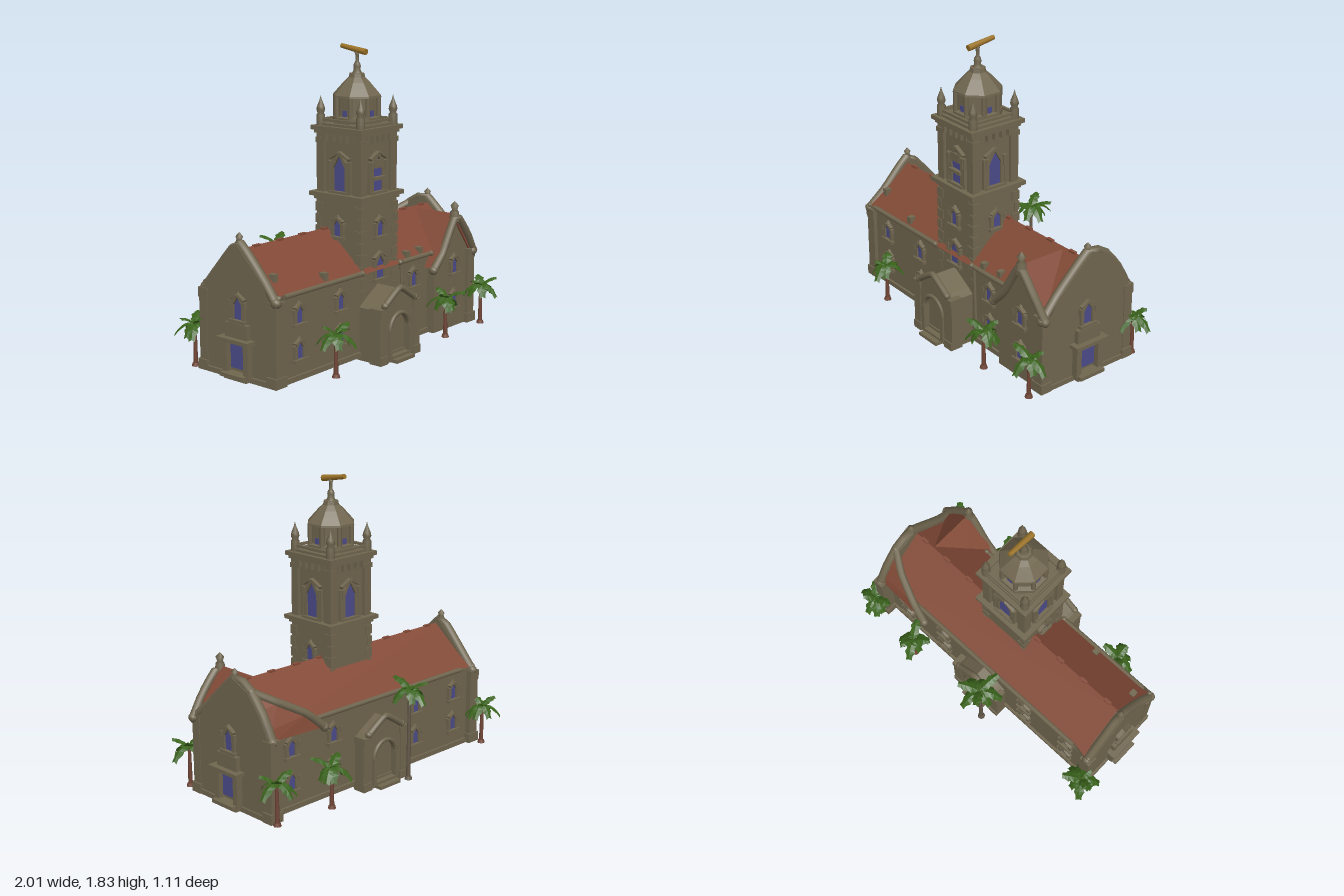
import * as THREE from 'three';

const mat = (name, color, extra = {}) => {
  const m = new THREE.MeshStandardMaterial({ color, ...extra });
  m.name = name;
  return m;
};

export function createModel() {
  const root = new THREE.Group();
  root.name = 'towerHall';
  const stone = mat('stone', 0x70664f);
  const ribbonStone = mat('thinStone', 0x70664f, { side: THREE.DoubleSide });
  const tile = mat('roofTile', 0x834a37, { side: THREE.DoubleSide });
  const glass = mat('blueGlass', 0x4b4b8b);
  const leaf = mat('palmLeaf', 0x3a631c, { side: THREE.DoubleSide, flatShading: true });
  const bark = mat('redBark', 0x704636);
  const greyBark = mat('greyBark', 0x655a4a);
  const brass = mat('brass', 0x9c7429);

  const add = (name, geo, m, x = 0, y = 0, z = 0, parent = root) => {
    const mesh = new THREE.Mesh(geo, m);
    mesh.name = name;
    mesh.position.set(x, y, z);
    parent.add(mesh);
    return mesh;
  };
  // box given by its base height y0 and top y1
  const box = (name, w, y0, y1, d, x, z, parent = root, m = stone) =>
    add(name, new THREE.BoxGeometry(w, y1 - y0, d), m, x, (y0 + y1) / 2, z, parent);
  const polygon = (pts) => new THREE.Shape(pts.map((p) => new THREE.Vector2(p[0], p[1])));
  const extrude = (shape, depth) =>
    new THREE.ExtrudeGeometry(shape, { depth, bevelEnabled: false, curveSegments: 10 });
  // profile of [z, y] points pulled along x
  const alongX = (name, pts, x0, x1, m) =>
    add(name, extrude(polygon(pts.map((p) => [-p[0], p[1]])), x1 - x0).rotateY(Math.PI / 2), m, x0);
  // rounded coping along a list of points
  const coping = (name, pts, r, parent = root) => {
    const path = new THREE.CatmullRomCurve3(pts.map((p) => new THREE.Vector3(...p)), false, 'catmullrom', 0.2);
    add(name, new THREE.TubeGeometry(path, 12, r, 8), stone, 0, 0, 0, parent);
    for (const p of [pts[0], pts[pts.length - 1]])
      add(name + 'End', new THREE.SphereGeometry(r * 1.15, 8, 6), stone, ...p, parent);
  };
  // sheet between two equally long rows of points
  const ribbon = (name, a, b, m) => {
    const pos = [];
    for (let i = 0; i + 1 < a.length; i++)
      for (const p of [a[i], b[i], a[i + 1], a[i + 1], b[i], b[i + 1]]) pos.push(...p);
    const g = new THREE.BufferGeometry();
    g.setAttribute('position', new THREE.Float32BufferAttribute(pos, 3));
    g.computeVertexNormals();
    add(name, g, m);
  };
  const lathe = (pts, n = 10) => new THREE.LatheGeometry(pts.map((p) => new THREE.Vector2(p[0], p[1])), n);
  const pointed = (w, h) => [[-w / 2, 0], [w / 2, 0], [w / 2, h * 0.65], [0, h], [-w / 2, h * 0.65]];

  // window with pane, pointed surround, sill and hood; faces +z before turning
  const windowAt = (x, y, z, turn, w = 0.05, h = 0.1) => {
    const g = new THREE.Group();
    g.name = 'window';
    g.position.set(x, y, z);
    g.rotation.y = turn;
    const surround = polygon(pointed(w + 0.042, h + 0.03));
    surround.holes.push(new THREE.Path(pointed(w, h).map((p) => new THREE.Vector2(p[0], p[1] + 0.004))));
    add('surround', extrude(surround, 0.016), stone, 0, 0, 0, g);
    add('pane', extrude(polygon(pointed(w, h)), 0.005), glass, 0, 0.002, 0, g);
    box('sill', w + 0.06, -0.016, 0.004, 0.03, 0, 0.012, g);
    for (const s of [-1, 1]) {
      const hood = box('hood', w * 0.95, -0.007, 0.007, 0.026, s * w * 0.45, 0.012, g);
      hood.position.y = h + 0.003;
      hood.rotation.z = -s * 0.5;
      box('label', 0.016, h * 0.55, h * 0.85, 0.024, s * (w / 2 + 0.022), 0.012, g);
    }
    root.add(g);
  };

  // main hall
  box('hallWalls', 1.78, 0.02, 0.53, 0.53, -0.01, 0.01);
  box('plinth', 1.82, 0.02, 0.05, 0.56, -0.01, 0.01);
  alongX('mainRoof', [[0.3, 0.52], [0.02, 0.76], [-0.27, 0.52]], -0.87, 0.85, tile);
  for (const [x0, x1, z] of [[-0.88, -0.17, 0.295], [0.19, 0.5, 0.295], [-0.88, 0.85, -0.265]])
    coping('eave', [[x0, 0.525, z], [x1, 0.525, z]], 0.015);
  [[-0.82, 0.62, 0.2], [-0.47, 0.57, 0.26], [0.28, 0.56, 0.27], [0.42, 0.56, 0.26]].forEach(([x, y, z]) =>
    box('roofVent', 0.035, y - 0.03, y + 0.015, 0.04, x, z));
  for (let i = 0; i < 9; i++)
    if (i !== 4) box('ridgeTile', 0.05, 0.75, 0.764, 0.02, -0.76 + i * 0.19, 0.02, root, tile);

  // gable ends: [z, y] outlines from front eave over the apex to the back eave
  const outlines = {
    '-1': [[0.29, 0.5], [0.18, 0.61], [0, 0.79], [-0.14, 0.65], [-0.27, 0.5]],
    1: [[0.34, 0.48], [0.21, 0.6], [-0.01, 0.8], [-0.14, 0.74], [-0.24, 0.62], [-0.31, 0.49]],
  };
  for (const s of [-1, 1]) {
    const x = s > 0 ? 0.86 : -0.875;
    const line = outlines[s];
    const zf = line[0][0] - 0.01;
    const zb = line[line.length - 1][0] + 0.01;
    alongX('gableWall', [[zf, 0.02], ...line, [zb, 0.02]], x - 0.03, x + 0.03, stone);
    coping('gableCoping', line.map(([z, y], i) => [x + (i ? 0 : s * 0.02), y, z]), 0.027);
    add('gableFinial', lathe([[0.028, 0], [0.024, 0.05], [0.015, 0.07], [0.022, 0.085], [0, 0.11]]), stone, x, 0.74, 0);
    for (const z of [zf - 0.01, zb]) {
      box('buttress', 0.07, 0.02, 0.44, 0.06, x, z);
      box('kneeler', 0.075, 0.44, 0.5, 0.07, x, z);
      box('buttressFoot', 0.09, 0.02, 0.08, 0.075, x, z);
    }
    const face = x + s * 0.03;
    windowAt(face, 0.36, 0.02, s * Math.PI / 2, 0.062, 0.13);
    box('sideDoor', 0.008, 0.08, 0.25, 0.125, face + s * 0.004, 0.02, root, glass);
    for (const dz of [-0.08, 0.08]) box('sideDoorJamb', 0.05, 0.04, 0.25, 0.035, face + s * 0.015, 0.02 + dz);
    box('sideDoorHood', 0.08, 0.24, 0.262, 0.24, face + s * 0.025, 0.02);
    box('sideDoorPanel', 0.04, 0.26, 0.345, 0.17, face + s * 0.01, 0.02);
    box('sideStep', 0.07, 0.04, 0.062, 0.18, face + s * 0.035, 0.02);
    box('sideStepBase', 0.04, 0.02, 0.04, 0.17, face + s * 0.02, 0.02);
  }

  // front cross gable
  add('wingWalls', extrude(polygon([[0.49, 0.02], [0.88, 0.02], [0.88, 0.46], [0.69, 0.72], [0.49, 0.46]]), 0.3), stone, 0, 0, 0.03);
  add('wingRoof', extrude(polygon([[0.46, 0.44], [0.49, 0.44], [0.69, 0.71], [0.87, 0.47], [0.88, 0.5], [0.69, 0.75]]), 0.31), tile, 0, 0, 0.03);
  coping('wingCoping', [[0.46, 0.43, 0.345], [0.55, 0.52, 0.345], [0.69, 0.74, 0.345], [0.82, 0.6, 0.345], [0.9, 0.48, 0.335]], 0.025);
  add('wingFinial', lathe([[0.032, 0], [0.028, 0.06], [0.016, 0.075], [0.026, 0.1], [0, 0.13]]), stone, 0.69, 0.7, 0.335);
  for (const y of [0.145, 0.37]) windowAt(0.69, y, 0.33, 0);

  // back coping rising to the gable, with its low wall and roof patch
  const rise = [[0.47, 0.48, -0.31], [0.58, 0.58, -0.285], [0.74, 0.67, -0.22], [0.86, 0.74, -0.14]];
  coping('backCoping', rise, 0.024);
  ribbon('backCopingWall', rise, rise.map(([x, , z]) => [x, 0.48, z]), ribbonStone);
  ribbon('backRoofPatch', rise, [[0.84, 0.49, -0.3], [0.84, 0.55, -0.28], [0.84, 0.65, -0.22], [0.86, 0.74, -0.14]], tile);

  // hall windows
  for (const y of [0.14, 0.345]) {
    for (const x of [-0.7, -0.35, 0.34]) windowAt(x, y, 0.275, 0);
    for (const x of [-0.7, -0.35, 0.35, 0.68]) windowAt(x, y, -0.255, Math.PI);
  }
  add('downpipe', new THREE.CylinderGeometry(0.01, 0.01, 0.36, 8), stone, 0.215, 0.33, 0.29).rotation.z = 0.04;

  // front and back entrance porches
  const porch = (name, z, depth, turn) => {
    const g = new THREE.Group();
    g.name = name;
    g.position.z = z;
    g.rotation.y = turn;
    root.add(g);
    const front = polygon([[-0.17, 0], [0.17, 0], [0.17, 0.32], [0.13, 0.35], [0, 0.43], [-0.13, 0.35], [-0.17, 0.32]]);
    const arch = new THREE.Path();
    arch.moveTo(-0.085, 0.02);
    arch.lineTo(-0.085, 0.19);
    arch.absarc(0, 0.19, 0.085, Math.PI, 0, true);
    arch.lineTo(0.085, 0.02);
    front.holes.push(arch);
    add('porchFront', extrude(front, depth), stone, 0, 0, -depth, g);
    box('porchDoor', 0.18, 0.01, 0.29, 0.02, 0, -0.04, g);
    add('archMoulding', new THREE.TorusGeometry(0.093, 0.013, 8, 16, Math.PI), stone, 0, 0.19, 0, g);
    for (const s of [-1, 1]) {
      box('archPost', 0.025, 0.02, 0.19, 0.025, s * 0.093, 0, g);
      box('porchPier', 0.06, 0, 0.3, 0.07, s * 0.16, -0.03, g);
      box('pierCap', 0.07, 0.29, 0.335, 0.085, s * 0.155, -0.03, g);
      box('pierFoot', 0.07, 0, 0.05, 0.085, s * 0.155, -0.03, g);
    }
    coping('porchCoping', [[-0.14, 0.35, 0], [0, 0.435, 0], [0.14, 0.35, 0]], 0.019, g);
    for (let i = 0; i < 3; i++) box('porchStep', 0.17, 0, 0.02 + i * 0.015, 0.1 - i * 0.035, 0, -i * 0.018, g);
  };
  porch('frontPorch', 0.44, 0.19, 0);
  porch('backPorch', -0.34, 0.1, Math.PI);

  // tower, centred on its own group
  const tower = new THREE.Group();
  tower.name = 'tower';
  const tx = 0.01, tz = 0.105;
  tower.position.set(tx, 0, tz);
  root.add(tower);
  const square = (name, half, y0, y1) => box(name, half * 2, y0, y1, half * 2, 0, 0, tower);
  square('lowerShaft', 0.168, 0.02, 0.94);
  square('lowerCorniceBase', 0.18, 0.925, 0.945);
  square('lowerCornice', 0.2, 0.945, 0.97);
  square('belfryCore', 0.148, 0.96, 1.33);
  square('upperCorniceBase', 0.178, 1.315, 1.335);
  square('upperCornice', 0.193, 1.335, 1.36);
  square('lanternFloor', 0.165, 1.36, 1.375);
  for (const sx of [-1, 1]) for (const sz of [-1, 1]) {
    for (let i = 0; i < 8; i++) {
      const w = i % 2 ? 0.055 : 0.035;
      box('quoin', w, 0.36 + i * 0.07, 0.415 + i * 0.07, w, sx * (0.174 - w / 2), sz * (0.174 - w / 2), tower);
    }
    box('belfryPier', 0.055, 0.97, 1.32, 0.055, sx * 0.14, sz * 0.14, tower);
    box('pierCapital', 0.064, 1.26, 1.29, 0.064, sx * 0.141, sz * 0.141, tower);
    add('pinnacle', lathe([[0.026, 0], [0.026, 0.06], [0.018, 0.07], [0.026, 0.09], [0.022, 0.11], [0.008, 0.145], [0, 0.175]], 8), stone, sx * 0.15, 1.36, sz * 0.15, tower);
  }
  for (let i = 0; i < 4; i++) {
    const a = i * Math.PI / 2;
    const at = (r, y, w, h) => windowAt(tx + Math.sin(a) * r, y, tz + Math.cos(a) * r, a, w, h);
    at(0.148, 0.98, 0.085, 0.21);
    if (i !== 2) at(0.168, 0.715, 0.052, 0.1);
    if (i === 0) at(0.168, 0.46, 0.068, 0.14);
    const side = new THREE.Group();
    side.name = 'belfrySide';
    side.rotation.y = a;
    tower.add(side);
    for (let k = -2; k <= 2; k++) box('bracket', 0.025, 1.27, 1.32, 0.03, k * 0.052, 0.16, side);
    box('parapetRail', 0.3, 1.385, 1.4, 0.018, 0, 0.15, side);
    for (const s of [-1, 1]) box('belfryPost', 0.02, 0.97, 1.16, 0.03, s * 0.075, 0.152, side);
  }
  box('bellBalcony', 0.11, 1.05, 1.07, 0.03, 0, 0.163, tower);
  box('bellScreen', 0.085, 1.12, 1.17, 0.02, 0, 0.158, tower);

  // eight-sided lantern, roof and telescope
  const oct = (pts) => {
    const g = lathe(pts, 8).toNonIndexed();
    g.rotateY(Math.PI / 8);
    g.computeVertexNormals();
    return g;
  };
  add('lanternWall', oct([[0.12, 1.37], [0.12, 1.535]]), stone, 0, 0, 0, tower);
  add('lanternBase', oct([[0.148, 1.37], [0.148, 1.41], [0.12, 1.415]]), stone, 0, 0, 0, tower);
  add('lanternRoof', oct([[0.115, 1.522], [0.148, 1.525], [0.146, 1.537], [0.112, 1.575], [0.08, 1.61], [0.05, 1.638], [0.045, 1.662], [0, 1.666]]), stone, 0, 0, 0, tower);
  for (let i = 0; i < 8; i++) {
    const a = (i + 0.5) * Math.PI / 4, b = i * Math.PI / 4;
    add('lanternColumn', new THREE.CylinderGeometry(0.014, 0.014, 0.16, 8), stone, Math.sin(a) * 0.132, 1.455, Math.cos(a) * 0.132, tower);
    if (i % 2 === 0) box('lanternPane', 0.03, 1.415, 1.45, 0.006, Math.sin(b) * 0.112, Math.cos(b) * 0.112, tower, glass).rotation.y = b;
  }
  add('finial', lathe([[0.03, 1.66], [0.02, 1.68], [0.022, 1.7], [0.019, 1.715], [0.01, 1.73], [0.01, 1.765], [0.016, 1.785], [0, 1.79]]), stone, 0, 0, 0, tower);
  add('telescope', new THREE.CylinderGeometry(0.014, 0.019, 0.185, 10), brass, 0, 1.8, -0.025, tower).rotation.x = -Math.PI / 2 + 0.16;

  // palms: bent, jagged fronds on a thin trunk
  const frondGeo = (len, rise, droop) => {
    const g = new THREE.PlaneGeometry(1, 1, 2, 6).rotateX(-Math.PI / 2);
    const p = g.attributes.position;
    for (let i = 0; i < p.count; i++) {
      const u = p.getX(i) * 2, t = p.getZ(i) + 0.5;
      const jag = Math.round(t * 6) % 2 ? 0.75 : 1.2;
      const half = 0.006 + 0.024 * jag * Math.sin(Math.PI * (0.1 + t * 0.75));
      p.setXYZ(i, u * half, rise * t - droop * t * t - Math.abs(u) * 0.012, t * len);
    }
    g.computeVertexNormals();
    return g;
  };
  const palm = (x, z, top, size, m) => {
    const g = new THREE.Group();
    g.name = 'palm';
    g.position.set(x, 0, z);
    root.add(g);
    add('trunk', new THREE.CylinderGeometry(0.009, 0.014, top - 0.02, 8), m, 0, top / 2 + 0.01, 0, g);
    add('trunkFoot', new THREE.CylinderGeometry(0.018, 0.024, 0.02, 8), m, 0, 0.03, 0, g);
    for (let i = 0; i < 10; i++) {
      const upper = i % 3 === 1;
      const len = size * (0.82 + 0.2 * Math.sin(i * 2.4 + x * 7));
      const f = add('frond', frondGeo(len, upper ? 0.1 : 0.06, upper ? 0.05 : 0.12), leaf, 0, top, 0, g);
      f.rotation.y = i * Math.PI / 5 + x * 5 + 0.2 * Math.sin(i * 5);
    }
  };
  [[-0.9, -0.34], [0.5, -0.4], [0.88, -0.36], [-0.54, 0.41], [0.475, 0.43], [0.87, 0.42]].forEach(([x, z]) => palm(x, z, 0.27, 0.12, bark));
  palm(-0.12, -0.42, 0.59, 0.14, greyBark);

  return root;
}
